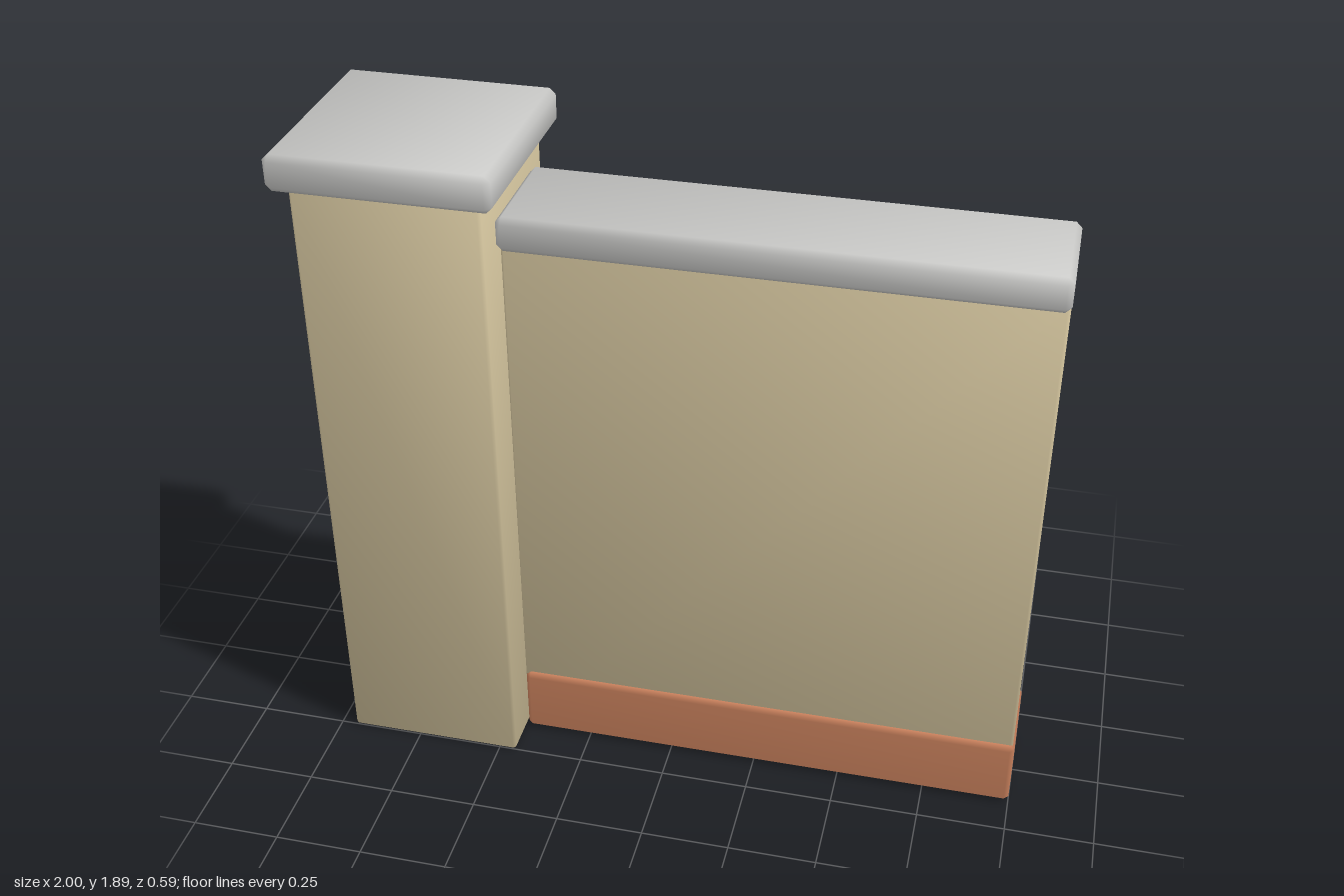
import * as THREE from 'three';
import { ConvexGeometry } from 'three/addons/geometries/ConvexGeometry.js';

// Box with chamfered edges and softly blended normals, spanning [min, max] on each axis.
function chamferBox([x0, x1], [y0, y1], [z0, z1], bevel, soft) {
  const half = [(x1 - x0) / 2, (y1 - y0) / 2, (z1 - z0) / 2];
  const points = [];
  for (const sx of [-1, 1]) for (const sy of [-1, 1]) for (const sz of [-1, 1]) {
    for (let axis = 0; axis < 3; axis++) {
      const p = half.map((h, i) => (i === axis ? h : h - bevel));
      points.push(new THREE.Vector3(sx * p[0], sy * p[1], sz * p[2]));
    }
  }
  const geometry = new ConvexGeometry(points);

  // each corner normal leans from its own face towards its two neighbours
  const pos = geometry.attributes.position;
  const normal = geometry.attributes.normal;
  const n = new THREE.Vector3();
  for (let i = 0; i < pos.count; i++) {
    const p = [pos.getX(i), pos.getY(i), pos.getZ(i)];
    const c = p.map((v, a) => Math.sign(v) * (half[a] - Math.abs(v) < bevel / 2 ? 1 : soft));
    n.set(c[0], c[1], c[2]).normalize();
    normal.setXYZ(i, n.x, n.y, n.z);
  }
  geometry.translate((x0 + x1) / 2, (y0 + y1) / 2, (z0 + z1) / 2);
  return geometry;
}

export function createModel() {
  const material = (name, color) => {
    const m = new THREE.MeshStandardMaterial({ color });
    m.name = name;
    return m;
  };
  const render = material('sand render', 0xcfc09a);
  const stone = material('grey coping stone', 0xc8c8c6);
  const brick = material('red brick', 0xc8805c);

  const group = new THREE.Group();
  group.name = 'gardenWall';
  const add = (name, mat, x, y, z, bevel, soft) => {
    const mesh = new THREE.Mesh(chamferBox(x, y, z, bevel, soft), mat);
    mesh.name = name;
    group.add(mesh);
  };

  // pillar and its cap
  add('pillar', render, [-0.955, -0.45], [0, 1.787], [-0.253, 0.253], 0.008, 0.35);
  add('pillarCap', stone, [-1, -0.408], [1.787, 1.887], [-0.295, 0.295], 0.016, 0.35);

  // wall panel, coping and brick plinth
  add('wallPanel', render, [-0.448, 0.994], [0, 1.62], [-0.126, 0.126], 0.008, 0.35);
  add('wallCoping', stone, [-0.448, 0.996], [1.62, 1.716], [-0.167, 0.167], 0.016, 0.35);
  add('brickPlinth', brick, [-0.444, 1], [0.001, 0.205], [-0.142, 0.142], 0.013, 0.05);

  return group;
}
